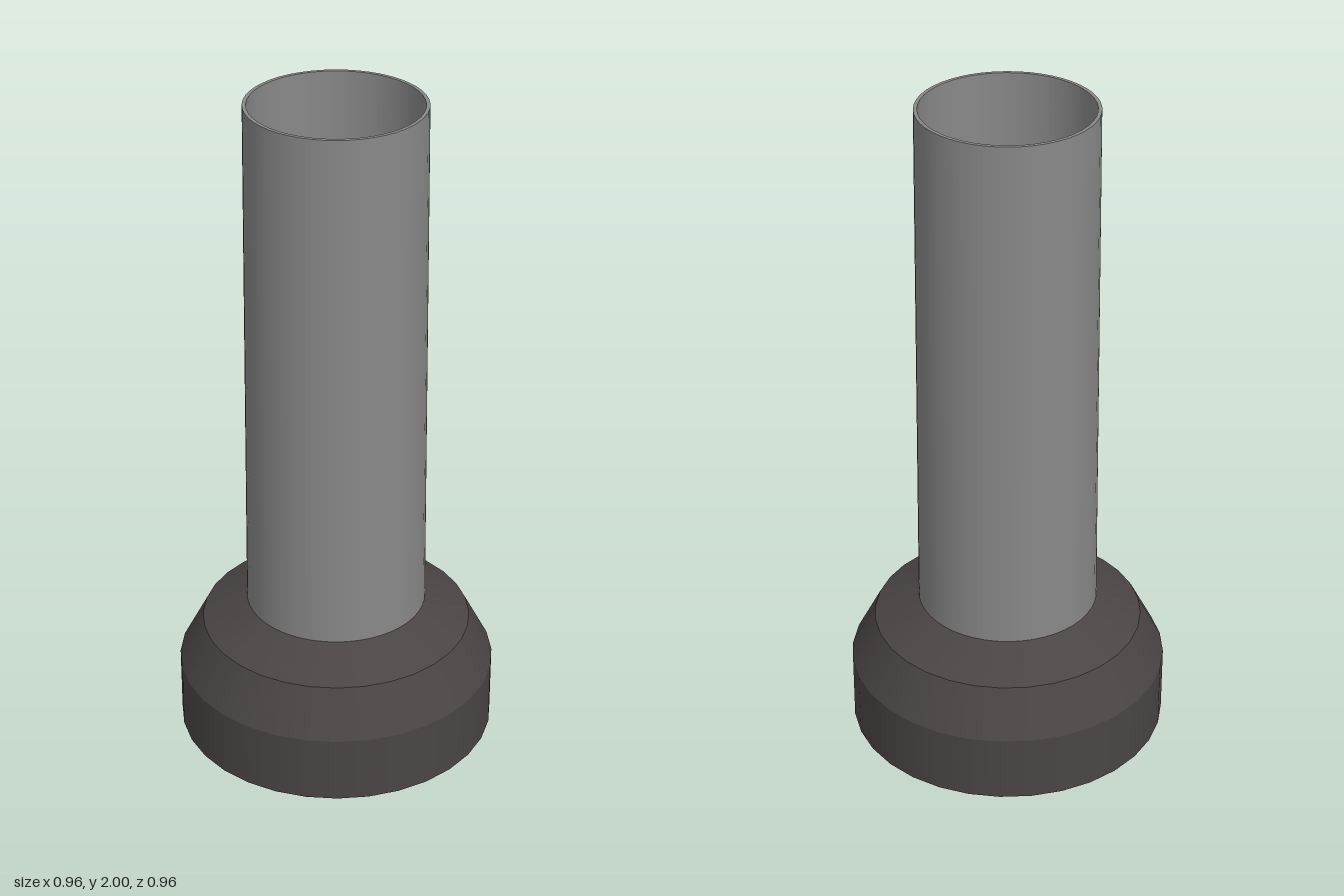
import * as THREE from 'three';
import { mergeGeometries } from 'three/addons/utils/BufferGeometryUtils.js';

// Revolves each profile segment separately: smooth around, sharp between bands.
function bandedLathe(profile, sides) {
  const points = profile.map(([r, y]) => new THREE.Vector2(r, y));
  const bands = [];
  for (let i = 0; i < points.length - 1; i++) {
    bands.push(new THREE.LatheGeometry([points[i], points[i + 1]], sides));
  }
  return mergeGeometries(bands);
}

export function createModel() {
  const darkBrown = new THREE.MeshStandardMaterial({ color: 0x4a4544 });
  darkBrown.name = 'darkBrownGrey';
  const grey = new THREE.MeshStandardMaterial({ color: 0x888888 });
  grey.name = 'midGrey';

  const group = new THREE.Group();
  group.name = 'tubeOnBase';

  // Solid stepped base, whose flat top is the floor of the tube
  const base = new THREE.Mesh(bandedLathe([
    [0, 0], [0.478, 0], [0.478, 0.205], [0.405, 0.345], [0.27, 0.415], [0, 0.415],
  ], 32), darkBrown);
  base.name = 'base';

  // Slightly tapering open tube with a thin rim and an inner wall
  const tube = new THREE.Mesh(bandedLathe([
    [0.27, 0.415], [0.258, 2], [0.247, 2], [0.247, 0.415],
  ], 48), grey);
  tube.name = 'tube';

  group.add(base, tube);
  return group;
}
